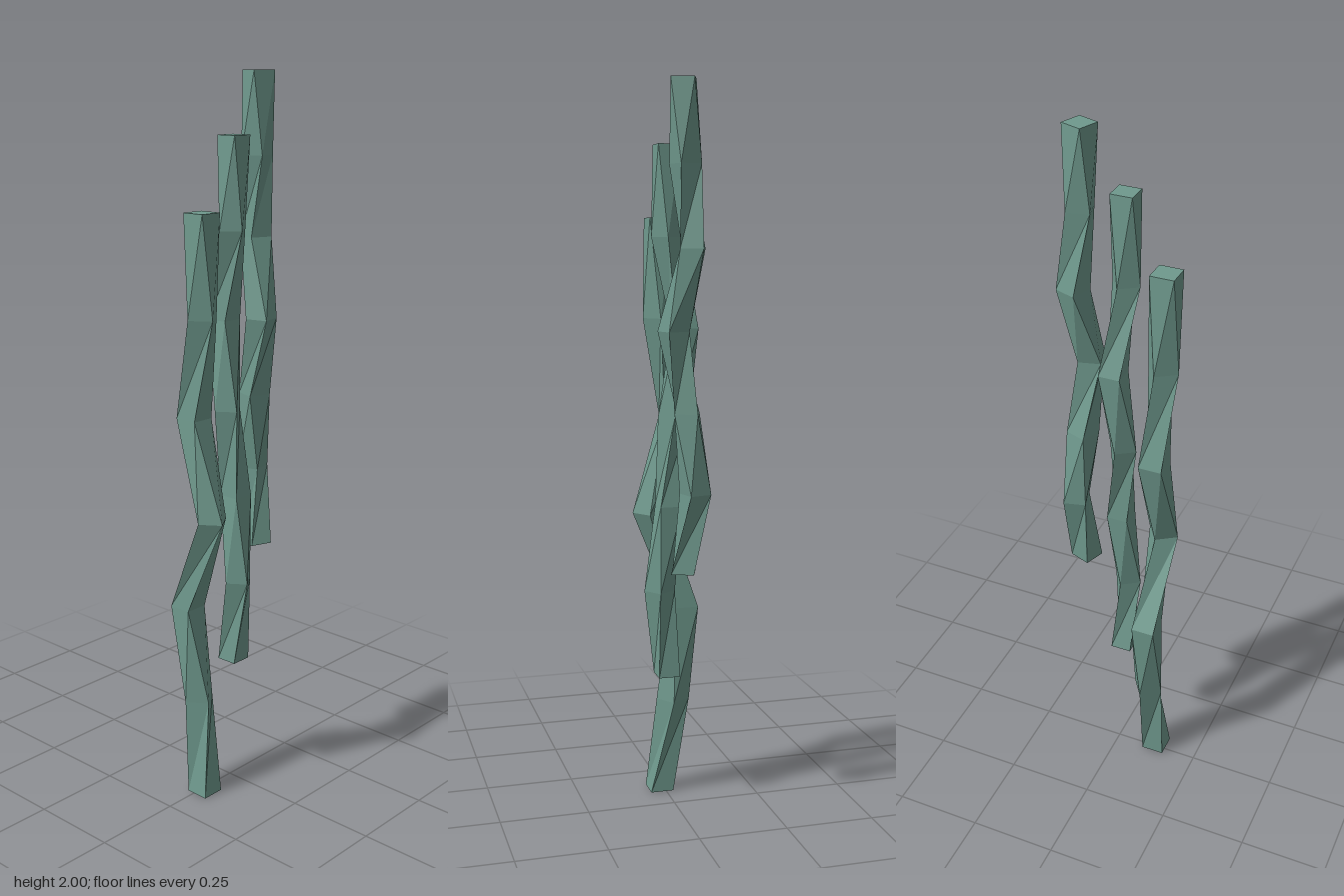
import * as THREE from 'three';

const TWIST = 0.6; // every second joint is turned by this angle

// One kinked strand: a segmented square bar whose joints follow given [x, z] centres, top to bottom
function makeStrand({ name, top, bottom, width, turn, joints }, material) {
  const steps = joints.length - 1;
  const geo = new THREE.BoxGeometry(width, top - bottom, width, 1, steps, 1);
  const pos = geo.attributes.position;
  for (let i = 0; i < pos.count; i++) {
    const ring = Math.round((0.5 - pos.getY(i) / (top - bottom)) * steps);
    const a = turn + (ring % 2 ? TWIST : 0);
    const x = pos.getX(i), z = pos.getZ(i);
    pos.setXYZ(
      i,
      joints[ring][0] + x * Math.cos(a) + z * Math.sin(a),
      pos.getY(i) + (top + bottom) / 2,
      joints[ring][1] - x * Math.sin(a) + z * Math.cos(a)
    );
  }
  // Flat facets
  const flat = geo.toNonIndexed();
  flat.computeVertexNormals();
  const mesh = new THREE.Mesh(flat, material);
  mesh.name = name;
  return mesh;
}

export function createModel() {
  const group = new THREE.Group();
  group.name = 'hangingStrands';

  const green = new THREE.MeshStandardMaterial({ color: 0x6f998d, flatShading: true });
  green.name = 'sage green';

  const strands = [
    {
      name: 'rightStrand', top: 1.65, bottom: 0, width: 0.066, turn: 0,
      joints: [[-0.12, 0.012], [-0.118, 0.01], [-0.112, -0.028], [-0.117, 0.042],
        [-0.11, -0.059], [-0.104, -0.024], [-0.12, 0.012]],
    },
    {
      name: 'middleStrand', top: 1.84, bottom: 0.38, width: 0.06, turn: 0,
      joints: [[-0.007, 0.02], [-0.01, 0.018], [0.007, -0.027], [-0.01, 0],
        [0.004, 0.018], [-0.01, 0.04], [-0.007, 0.02]],
    },
    {
      name: 'leftStrand', top: 2, bottom: 0.7, width: 0.062, turn: -0.35,
      joints: [[0.106, 0.005], [0.107, 0], [0.122, -0.016], [0.095, 0.029],
        [0.107, -0.005], [0.122, -0.024], [0.106, 0.005]],
    },
  ];
  for (const strand of strands) group.add(makeStrand(strand, green));
  return group;
}
